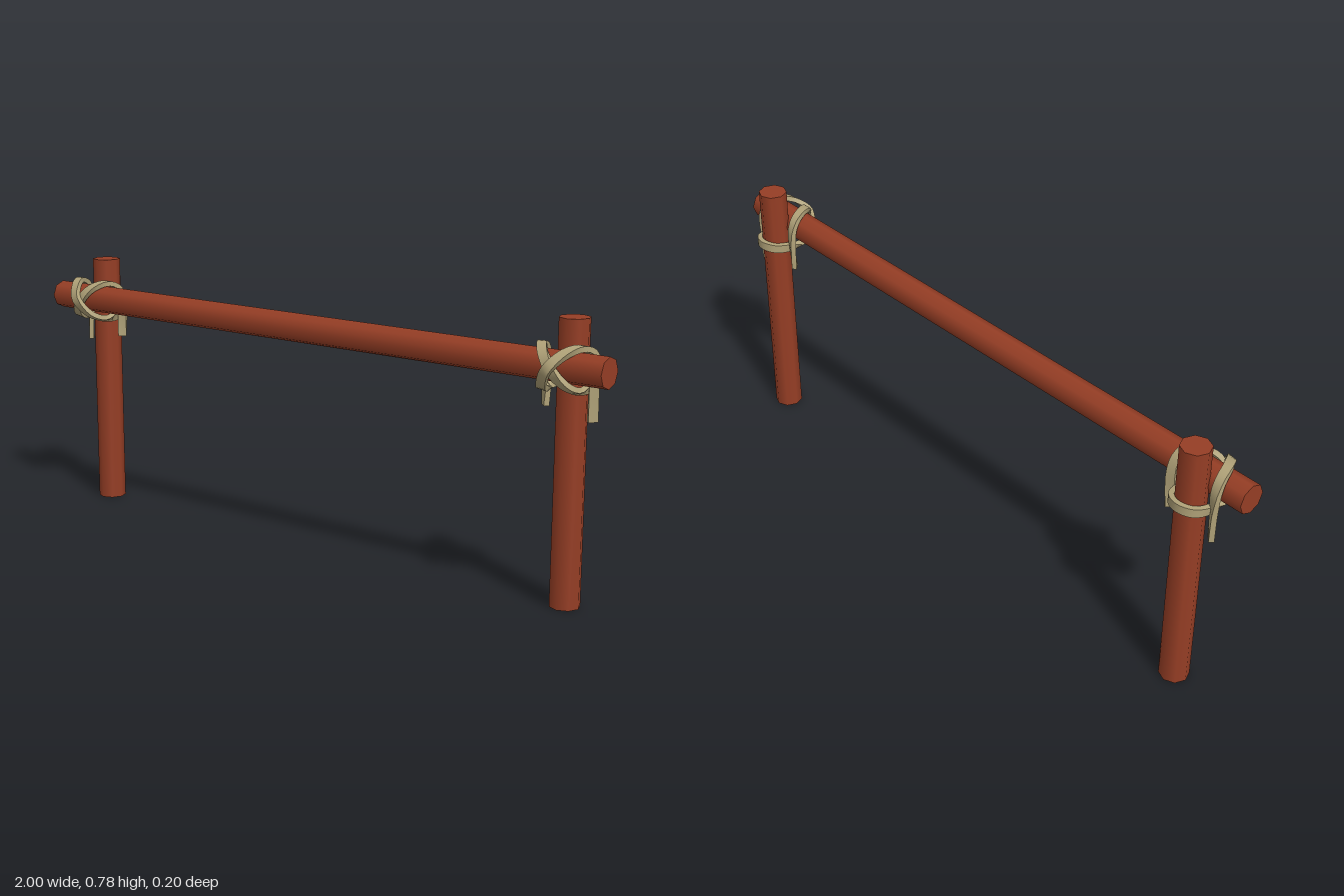
import * as THREE from 'three';
import { toCreasedNormals } from 'three/addons/utils/BufferGeometryUtils.js';

const wood = new THREE.MeshStandardMaterial({ color: 0x963e25 });
wood.name = 'red wood';
const rope = new THREE.MeshStandardMaterial({ color: 0xb0a278 });
rope.name = 'tan rope';

const R = 0.0425, POST_X = 0.86, POST_Z = -0.0425, RAIL_Y = 0.66, RAIL_Z = 0.018;

// Lashing path, x measured outward from the post: [x, y, z, outward normal]
const LASHING = [
  [0.068, 0.515, -0.033, -0.7, 0, -0.7],
  [0.068, 0.6, -0.034, -0.6, 0, -0.8],
  [0.07, 0.662, -0.035, -0.2, 0.1, -1],
  [0.068, 0.698, -0.018, 0, 0.7, -0.7],
  [0.058, 0.713, 0.018, 0, 1, 0],
  [0.032, 0.7, 0.06, 0, 0.7, 0.7],
  [0, 0.662, 0.09, 0, 0, 1],
  [-0.03, 0.617, 0.062, 0, -0.7, 0.7],
  [-0.049, 0.6, 0.02, -0.3, -0.9, 0],
  [-0.054, 0.604, -0.03, -1, -0.2, 0],
  [-0.038, 0.61, -0.076, -0.7, 0, -0.7],
  [0, 0.613, -0.092, 0, 0, -1],
  [0.038, 0.61, -0.076, 0.7, 0, -0.7],
  [0.054, 0.604, -0.03, 1, -0.2, 0],
  [0.049, 0.602, 0.02, 0.3, -0.9, 0],
  [0.03, 0.622, 0.056, 0, -0.7, 0.7],
  [0, 0.66, 0.073, 0, 0, 1],
  [-0.032, 0.697, 0.056, 0, 0.7, 0.7],
  [-0.06, 0.712, 0.015, 0, 1, 0],
  [-0.071, 0.697, -0.018, 0, 0.7, -0.7],
  [-0.074, 0.66, -0.035, 0.2, 0.1, -1],
  [-0.074, 0.54, -0.033, 0.7, 0, -0.7],
];

// Sweeps a flat rectangular section along the lashing path
function lashingGeometry(side) {
  const path = new THREE.CatmullRomCurve3(
    LASHING.map(([x, y, z]) => new THREE.Vector3(side * (POST_X + x), y, z)));
  const normals = new THREE.CatmullRomCurve3(
    LASHING.map((p) => new THREE.Vector3(side * p[3], p[4], p[5])));
  const corners = [[1, 1], [-1, 1], [-1, -1], [1, -1]];
  const steps = 84, pos = [], index = [];
  for (let i = 0; i <= steps; i++) {
    const t = i / steps;
    const p = path.getPoint(t), tangent = path.getTangent(t);
    const n = normals.getPoint(t);
    n.addScaledVector(tangent, -n.dot(tangent)).normalize();
    const w = new THREE.Vector3().crossVectors(tangent, n);
    for (const [a, b] of corners) {
      const v = p.clone().addScaledVector(w, a * 0.013).addScaledVector(n, b * 0.0075);
      pos.push(v.x, v.y, v.z);
    }
    if (i === steps) continue;
    for (let k = 0; k < 4; k++) {
      const a = i * 4 + k, b = i * 4 + (k + 1) % 4;
      index.push(a, a + 4, b + 4, a, b + 4, b);
    }
  }
  // end caps
  const e = steps * 4;
  index.push(0, 1, 2, 0, 2, 3, e, e + 2, e + 1, e, e + 3, e + 2);
  const geo = new THREE.BufferGeometry();
  geo.setAttribute('position', new THREE.Float32BufferAttribute(pos, 3));
  geo.setIndex(index);
  return toCreasedNormals(geo, 0.6);
}

export function createModel() {
  const group = new THREE.Group();
  const add = (name, geo, mat, x = 0, y = 0, z = 0) => {
    const mesh = new THREE.Mesh(geo, mat);
    mesh.name = name;
    mesh.position.set(x, y, z);
    group.add(mesh);
  };

  // horizontal rail
  const rail = new THREE.CylinderGeometry(R, R, 2, 8).rotateZ(Math.PI / 2);
  add('rail', rail, wood, 0, RAIL_Y, RAIL_Z);

  // a post and its lashing at each end
  for (const [side, label] of [[1, 'left'], [-1, 'right']]) {
    add(label + 'Post', new THREE.CylinderGeometry(R, R, 0.78, 8), wood, side * POST_X, 0.39, POST_Z);
    add(label + 'Lashing', lashingGeometry(side), rope);
  }
  return group;
}
